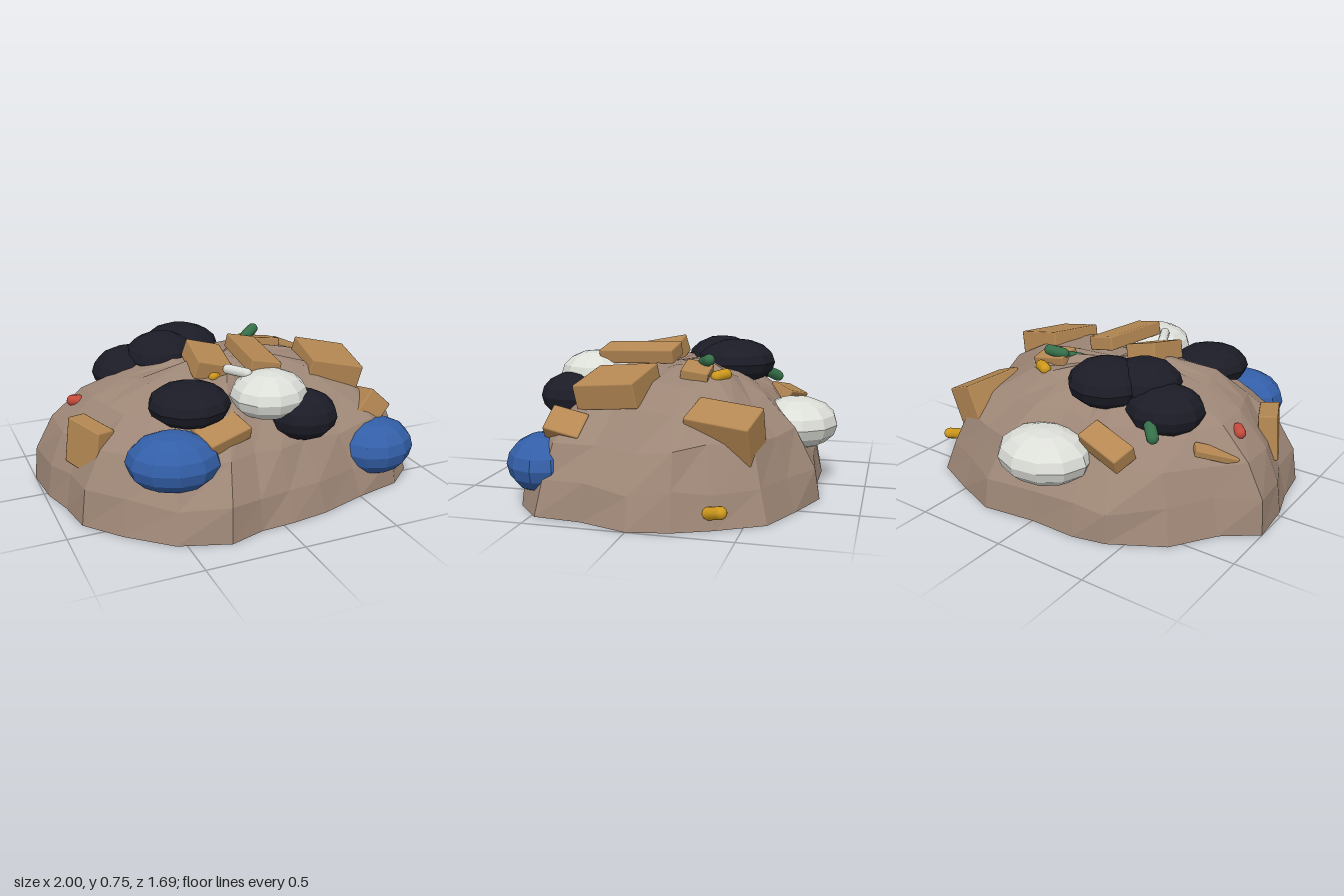
import * as THREE from 'three';
import { RoundedBoxGeometry } from 'three/addons/geometries/RoundedBoxGeometry.js';

const mat = (name, color) => {
  const m = new THREE.MeshStandardMaterial({ color });
  m.name = name;
  return m;
};

// faceted normals
function facet(g) {
  const f = g.index ? g.toNonIndexed() : g;
  f.computeVertexNormals();
  return f;
}

// small seeded random in -1..1
function seeded(seed) {
  let s = seed;
  return () => {
    s = (s * 16807) % 2147483647;
    return (s / 2147483647) * 2 - 1;
  };
}

// mound: rings that shrink from an irregular outline up to a flattened crown
function moundGeometry() {
  const outline = [[1, 0], [0.92, 0.24], [0.9, 0.48], [0.75, 0.61], [0.5, 0.67], [0.25, 0.75],
    [0.05, 0.78], [-0.12, 0.79], [-0.3, 0.845], [-0.55, 0.76], [-0.75, 0.58], [-0.9, 0.4],
    [-0.93, 0.2], [-0.98, 0.03], [-1, -0.21], [-0.83, -0.34], [-0.68, -0.56], [-0.42, -0.71],
    [-0.25, -0.75], [0, -0.75], [0.28, -0.79], [0.52, -0.7], [0.75, -0.6], [0.88, -0.38], [0.96, -0.2]];
  // [height, scale towards front and back, scale towards the sides]
  const rings = [[0, 1, 1], [0.165, 0.955, 0.965], [0.34, 0.81, 0.89],
    [0.49, 0.61, 0.73], [0.59, 0.41, 0.55], [0.64, 0.2, 0.27]];
  const n = outline.length, rnd = seeded(77);
  const pts = rings.map(([y, front, side], i) => outline.map(([x, z]) => {
    const wobble = i === 0 ? 0 : 0.022;
    // the +x flank is a little shallower than the -x flank
    const sideways = (x * x) / (x * x + z * z) * (x > 0 ? 0.75 : 1);
    const k = (front + (side - front) * sideways) * (1 + rnd() * wobble);
    return [x * k + rnd() * wobble * 0.5, y + rnd() * wobble, z * k + rnd() * wobble * 0.5];
  }));
  const verts = [];
  const tri = (...p) => p.forEach((v) => verts.push(...v));
  for (let j = 0; j < n; j++) {
    const q = (j + 1) % n;
    for (let i = 0; i < rings.length - 1; i++) {
      tri(pts[i][j], pts[i + 1][j], pts[i][q]);
      tri(pts[i][q], pts[i + 1][j], pts[i + 1][q]);
    }
    tri(pts[rings.length - 1][j], [0, 0.64, 0], pts[rings.length - 1][q]);
    tri([0, 0, 0], pts[0][j], pts[0][q]);
  }
  const g = new THREE.BufferGeometry();
  g.setAttribute('position', new THREE.Float32BufferAttribute(verts, 3));
  return facet(g);
}

export function createModel() {
  const group = new THREE.Group();
  group.name = 'rubbishHeap';
  const dirt = mat('dirt brown', 0x9d8676);
  const card = mat('cardboard', 0xb58853);
  const black = mat('black plastic', 0x1c1c27);
  const blue = mat('blue plastic', 0x335fa8);
  const white = mat('white plastic', 0xdcded8);
  const yellow = mat('yellow can', 0xd09a1c);
  const green = mat('green glass', 0x35704a);
  const red = mat('red can', 0xc44a3c);

  const add = (name, geo, material) => {
    const mesh = new THREE.Mesh(geo, material);
    mesh.name = name;
    group.add(mesh);
    return mesh;
  };

  add('mound', moundGeometry(), dirt);

  // bags: squashed low-poly spheres [name, material, centre, radii, turn]
  const bags = [
    ['whiteBagBack', white, [0, 0.33, -0.63], [0.255, 0.135, 0.22], 0],
    ['whiteBagFront', white, [0.06, 0.565, 0.465], [0.2, 0.12, 0.19], 0.3],
    ['blueBagLeft', blue, [-0.485, 0.34, 0.565], [0.23, 0.143, 0.19], -0.35],
    ['blueBagRight', blue, [0.665, 0.205, 0.52], [0.215, 0.147, 0.185], 0.3],
    ['blackBagFront', black, [0.215, 0.46, 0.54], [0.172, 0.125, 0.172], 0.2],
    ['blackBagLeft', black, [-0.34, 0.55, 0.405], [0.205, 0.105, 0.205], 0.5],
    ['blackBagOuter', black, [-0.45, 0.54, -0.24], [0.2, 0.125, 0.18], 0.4],
    ['blackBagMiddle', black, [-0.28, 0.62, -0.17], [0.195, 0.125, 0.19], 0.1],
    ['blackBagInner', black, [-0.13, 0.625, -0.28], [0.205, 0.12, 0.215], 0.7],
  ];
  for (const [name, material, c, r, turn] of bags) {
    const g = new THREE.SphereGeometry(1, 11, 8).scale(...r);
    const bag = add(name, facet(g), material);
    bag.position.set(...c);
    bag.rotation.y = turn;
  }

  // cartons [name, centre, size, rotation]
  const boxes = [
    ['rightCarton', [0.54, 0.575, 0.18], [0.29, 0.13, 0.33], [0.1, -0.18, -0.2]],
    ['longCarton', [0.09, 0.685, 0.2], [0.16, 0.075, 0.42], [0.04, -0.1, -0.2]],
    ['crownCarton', [-0.14, 0.66, 0.14], [0.19, 0.1, 0.25], [0.2, -0.1, -0.25]],
    ['backRightCarton', [0.6, 0.385, -0.37], [0.2, 0.23, 0.33], [-0.08, -0.22, -0.4]],
    ['smallFrontCarton', [0.643, 0.35, 0.4], [0.23, 0.143, 0.185], [-0.22, 0, 0.8]],
    ['leftCarton', [-0.8, 0.335, 0.225], [0.1, 0.24, 0.24], [0.1, 0.4, -0.12]],
    ['leftFlap', [-0.745, 0.385, -0.245], [0.22, 0.04, 0.08], [-0.2, 0.65, 0.4]],
    ['backCarton', [-0.31, 0.42, -0.54], [0.27, 0.09, 0.13], [-0.4, -0.28, 0.1]],
    ['smallCrownCarton', [0.3, 0.62, -0.16], [0.19, 0.07, 0.14], [-0.15, 0.08, -0.15]],
    ['frontFlap', [-0.24, 0.445, 0.56], [0.24, 0.07, 0.18], [0.3, 0.28, 0.1]],
  ];
  for (const [name, c, size, rot] of boxes) {
    const box = add(name, new RoundedBoxGeometry(...size, 1, 0.008), card);
    box.position.set(...c);
    box.rotation.set(...rot);
  }

  // bottles and cans: capsules between two end points [name, material, from, to, radius]
  const litter = [
    ['greenBottleCrown', green, [0.23, 0.665, -0.18], [0.29, 0.685, -0.22], 0.03],
    ['greenBottleNeck', green, [0.17, 0.64, -0.1], [0.24, 0.665, -0.18], 0.015],
    ['greenBottleBack', green, [-0.47, 0.52, -0.41], [-0.515, 0.49, -0.455], 0.031],
    ['yellowCanCrown', yellow, [0.26, 0.61, -0.3], [0.315, 0.605, -0.265], 0.031],
    ['yellowCanSide', yellow, [0.865, 0.075, -0.35], [0.905, 0.095, -0.415], 0.031],
    ['yellowCanFront', yellow, [-0.05, 0.635, 0.2], [-0.15, 0.615, 0.25], 0.027],
    ['redCan', red, [-0.795, 0.455, -0.105], [-0.77, 0.46, -0.08], 0.03],
    ['whiteBottle', white, [-0.09, 0.66, 0.3], [-0.035, 0.665, 0.41], 0.026],
  ];
  const up = new THREE.Vector3(0, 1, 0);
  for (const [name, material, from, to, r] of litter) {
    const a = new THREE.Vector3(...from), b = new THREE.Vector3(...to);
    const dir = b.clone().sub(a);
    const item = add(name, new THREE.CapsuleGeometry(r, dir.length(), 4, 10), material);
    item.position.copy(a).add(b).multiplyScalar(0.5);
    item.quaternion.setFromUnitVectors(up, dir.normalize());
  }
  return group;
}
